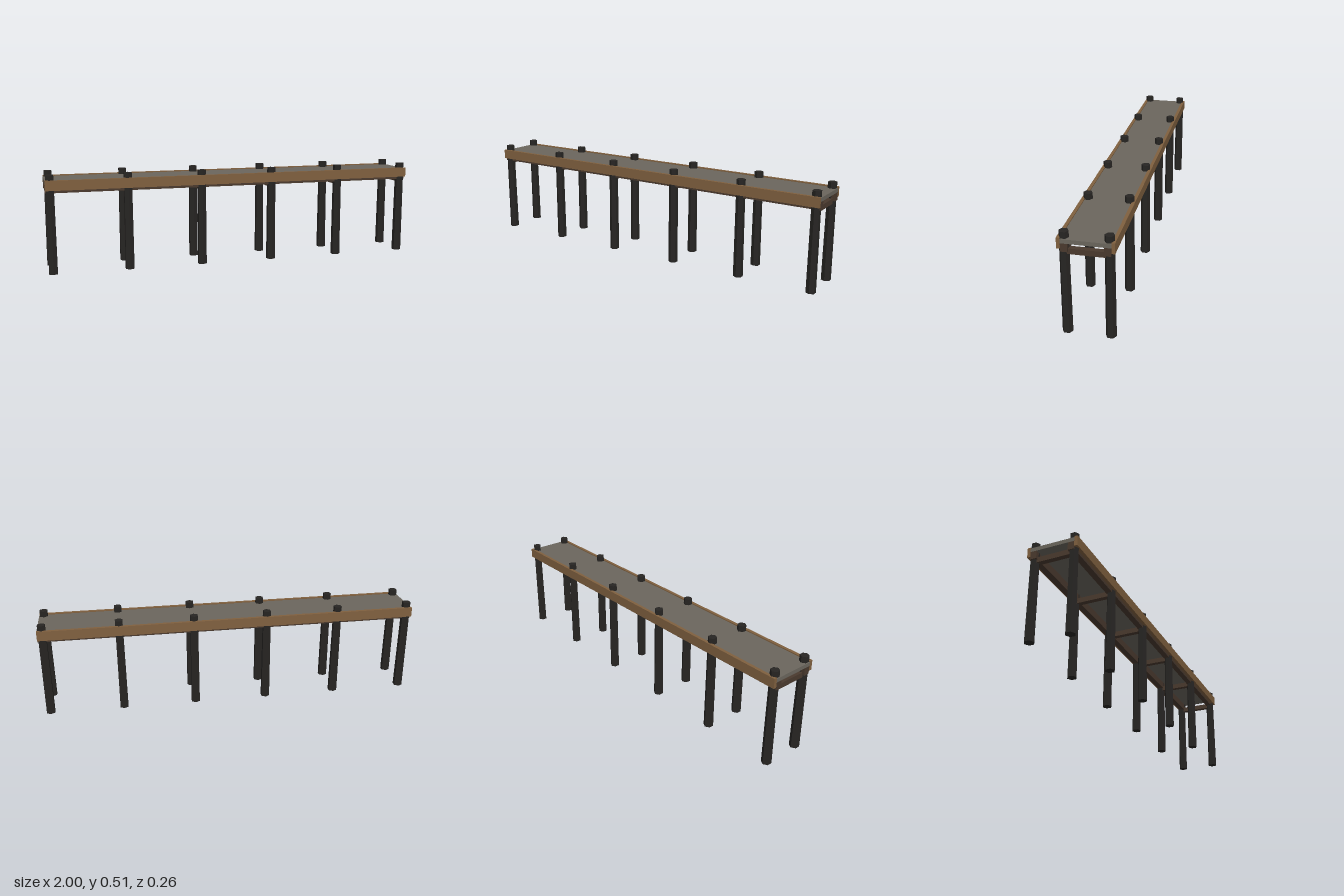
import * as THREE from 'three';

export function createModel() {
  const pier = new THREE.Group();
  pier.name = 'pier';

  const paint = (color) => new THREE.MeshStandardMaterial({ color, flatShading: true });
  const deckPaint = paint(0x6b665d);
  const railPaint = paint(0x80603f);
  const beamPaint = paint(0x4a3a2e);
  const postPaint = paint(0x272523);

  const add = (name, geometry, material, x, y, z) => {
    const mesh = new THREE.Mesh(geometry, material);
    mesh.name = name;
    mesh.position.set(x, y, z);
    pier.add(mesh);
  };

  // Walking surface
  add('deck', new THREE.BoxGeometry(2, 0.02, 0.224), deckPaint, 0, 0.465, 0);

  // Edge boards and the bearers below the deck, one of each per side
  const edgeBoard = new THREE.BoxGeometry(2, 0.051, 0.016);
  const bearer = new THREE.BoxGeometry(2, 0.04, 0.031);
  for (const side of [-1, 1]) {
    add('edgeBoard', edgeBoard, railPaint, 0, 0.4545, side * 0.12);
    add('bearer', bearer, beamPaint, 0, 0.435, side * 0.0955);
  }

  // Six pairs of tapered hexagonal posts, each tied by a cross beam
  const post = new THREE.CylinderGeometry(0.0225, 0.025, 0.506, 6);
  const crossBeam = new THREE.BoxGeometry(0.025, 0.027, 0.19);
  for (let i = 0; i < 6; i++) {
    const x = -0.975 + i * 0.39;
    for (const side of [-1, 1]) add('post', post, postPaint, x, 0.253, side * 0.1);
    add('crossBeam', crossBeam, beamPaint, x, 0.4135, 0);
  }

  return pier;
}
